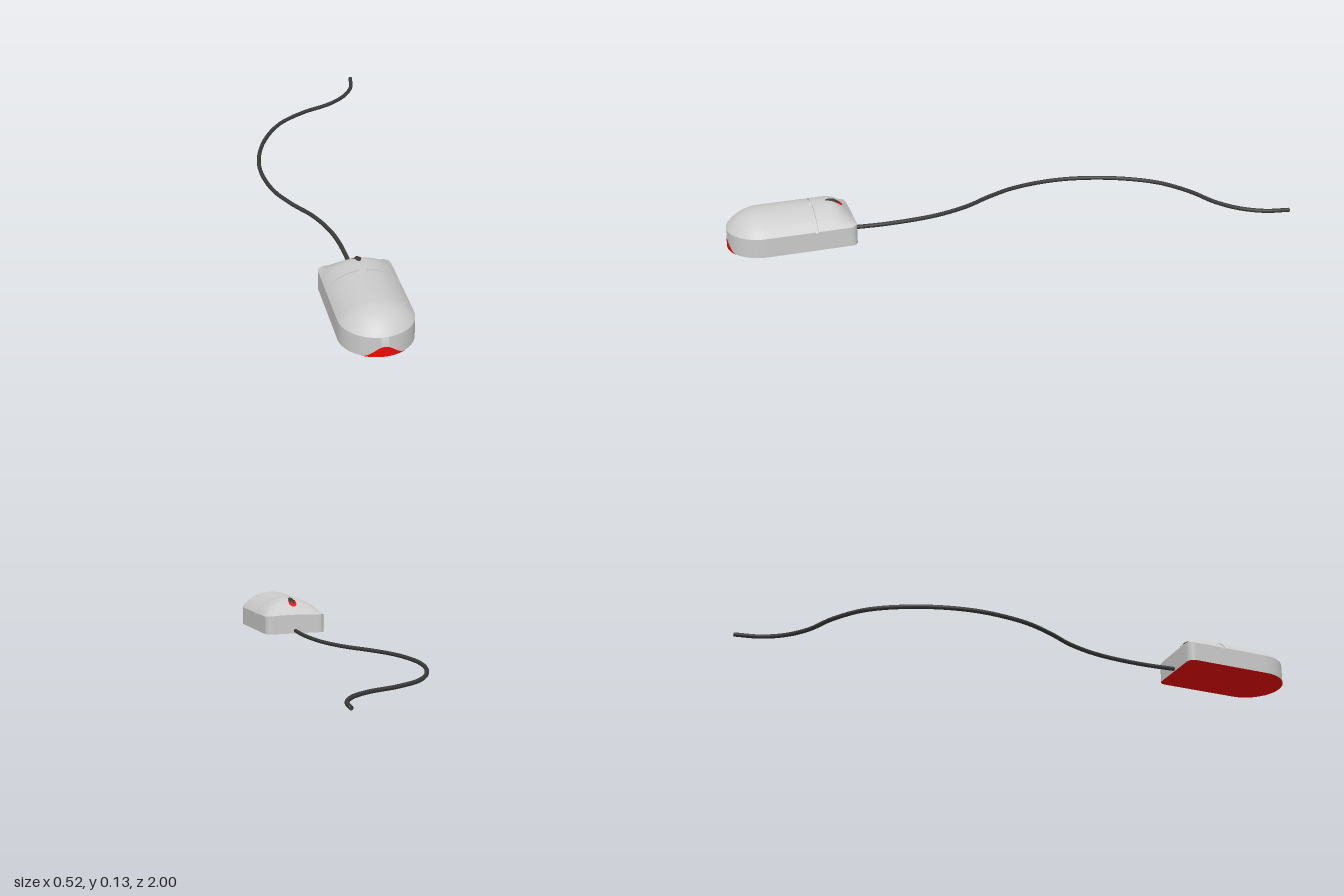
import * as THREE from 'three';
import { toCreasedNormals } from 'three/addons/utils/BufferGeometryUtils.js';

const R = 0.122, CX = -0.085, BACK = 0.557, FRONT = 0.998, ZC = FRONT - R;
const WALL = 0.07, RISE = 0.061, CORNER = 0.025, SLOPE = 0.085;

// half width of the plan: small corners at the back, semicircle at the front
function halfWidth(z) {
  if (z > ZC) return Math.sqrt(Math.max(R * R - (z - ZC) ** 2, 1e-8));
  const d = Math.max(0, CORNER - (z - BACK));
  return R - CORNER + Math.sqrt(Math.max(0, CORNER * CORNER - d * d));
}

// height of the domed top: arch across, revolved at the front, sloping at the back
function topHeight(x, z) {
  const r = (R * R + RISE * RISE) / (2 * RISE);
  const rho = Math.min(R, Math.hypot(x, Math.max(0, z - ZC)));
  const arch = Math.sqrt(r * r - rho * rho) - (r - RISE);
  const t = Math.min(1, (z - BACK) / SLOPE);
  return WALL + arch * (0.08 + 0.92 * Math.sin(t * Math.PI / 2));
}

// grid surface from rows of [x, y, z]; rows run along +z, columns along +x
function gridSurface(rows, crease = 0.5) {
  const n = rows[0].length, index = [];
  for (let i = 0; i < rows.length - 1; i++) {
    for (let j = 0; j < n - 1; j++) {
      const a = i * n + j, b = a + n;
      index.push(a, b, a + 1, b, b + 1, a + 1);
    }
  }
  const g = new THREE.BufferGeometry();
  g.setAttribute('position', new THREE.Float32BufferAttribute(rows.flat(2), 3));
  g.setIndex(index);
  return toCreasedNormals(g, crease);
}

function steps(n, fn) {
  return Array.from({ length: n + 1 }, (_, i) => fn(i / n));
}

export function createModel() {
  const group = new THREE.Group();
  const grey = new THREE.MeshStandardMaterial({ color: 0xcccccc });
  const red = new THREE.MeshStandardMaterial({ color: 0xee0808, side: THREE.DoubleSide });
  const dark = new THREE.MeshStandardMaterial({ color: 0x3a3a3a });
  const add = (name, geometry, material) => {
    const mesh = new THREE.Mesh(geometry, material);
    mesh.name = name;
    group.add(mesh);
    return mesh;
  };

  // stations along the body, closer together at the rounded ends
  const G0 = 0.697, G1 = 0.707, e = 0.0005;
  const stations = [
    ...steps(8, t => BACK + CORNER * (1 - Math.cos(t * Math.PI / 2))),
    ...steps(7, t => BACK + CORNER + 0.008 + t * 0.055),
    G0, G0 + e, G1 - e, G1, 0.76, 0.82,
    ...steps(24, t => ZC + R * Math.sin(t * Math.PI / 2)),
  ];

  // shell, with a shallow groove behind the buttons that stops at the middle
  const section = z => {
    const w = halfWidth(z);
    const top = steps(40, t => {
      const x = (t * 2 - 1) * w;
      const cut = z > G0 && z < G1 && Math.abs(x) > 0.015 ? 0.005 : 0;
      return [CX + x, topHeight(x, z) - cut, z];
    });
    return [[CX - w, 0, z], ...top, [CX + w, 0, z]];
  };
  const rows = stations.map(section);
  const backCap = rows[0].map(([x, , z]) => [x, 0, z]);
  add('shell', gridSurface([backCap, ...rows]), grey);

  // underside
  add('base', gridSurface(stations.map(z => {
    const w = halfWidth(z);
    return [[CX + w, 0, z], [CX - w, 0, z]];
  })), red);

  // bell-shaped accent wrapped on the front wall
  const accent = h => steps(32, t => {
    const x = (t * 2 - 1) * 0.07, r = R + 0.001;
    const y = h * 0.018 * (1 + Math.cos(Math.PI * x / 0.07));
    return [CX + x, y, ZC + Math.sqrt(r * r - x * x)];
  });
  add('frontAccent', gridSurface([accent(1), accent(0)]), red);

  // wheel opening lying on the sloping top
  add('wheelSlot', gridSurface(steps(16, t => {
    const z = 0.586 + 0.03 * t, w = 0.015 * Math.sqrt(Math.min(1, t * 3 + 0.15));
    return [-1, 0, 1].map(s => [CX + s * w, topHeight(s * w, z) + 0.0012, z]);
  })), red);

  // scroll wheel
  const wheel = add('scrollWheel', new THREE.SphereGeometry(1, 32, 20), dark);
  wheel.scale.set(0.021, 0.043, 0.043);
  wheel.position.set(CX, 0.091, 0.632);

  // cable, given as plan points [x, z]
  const plan = [[-0.085, 0.58], [-0.076, 0.42], [-0.09, 0.25], [-0.13, 0.12], [-0.19, 0.01],
    [-0.235, -0.1], [-0.255, -0.25], [-0.24, -0.38], [-0.19, -0.52], [-0.11, -0.64],
    [0, -0.72], [0.11, -0.77], [0.185, -0.83], [0.235, -0.91], [0.254, -1]];
  const path = new THREE.CatmullRomCurve3(plan.map(([x, z]) =>
    new THREE.Vector3(x, 0.008 + 0.005 * Math.max(0, z), z)));
  add('cable', new THREE.TubeGeometry(path, 160, 0.0075, 12), dark);
  const end = add('cableEnd', new THREE.CircleGeometry(0.0075, 12), dark);
  end.position.set(0.254, 0.008, -1);
  end.rotation.y = Math.PI;

  return group;
}
